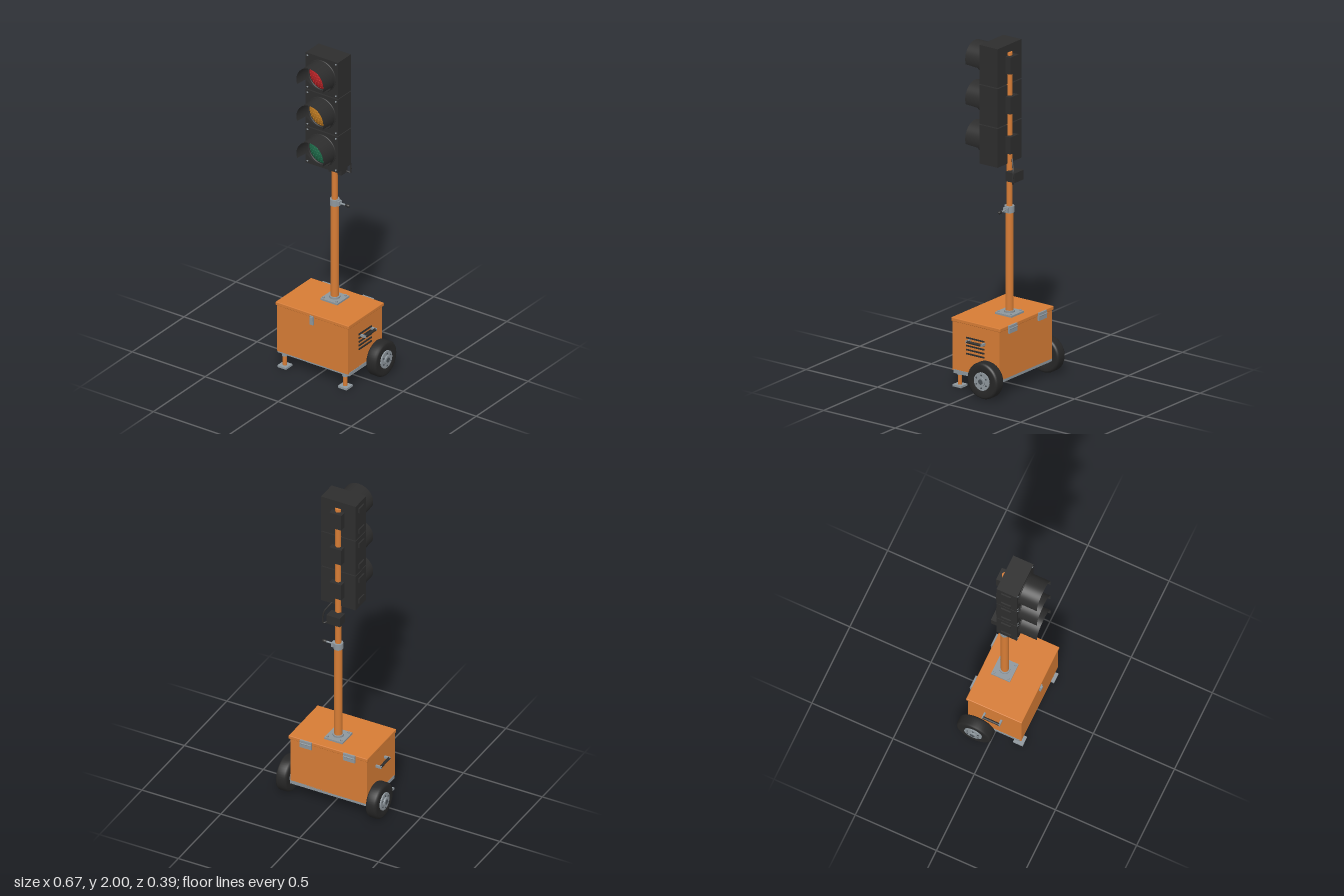
import * as THREE from 'three';
import { mergeGeometries } from 'three/addons/utils/BufferGeometryUtils.js';
import { RoundedBoxGeometry } from 'three/addons/geometries/RoundedBoxGeometry.js';

const mat = (name, color, side = THREE.FrontSide) => {
  const m = new THREE.MeshStandardMaterial({ color, side });
  m.name = name;
  return m;
};

export function createModel() {
  const model = new THREE.Group();
  model.name = 'portableTrafficSignal';
  const orange = mat('orangePaint', 0xd67c35);
  const black = mat('blackPlastic', 0x2d2d2d, THREE.DoubleSide);
  const rubber = mat('tyreRubber', 0x272727);
  const metal = mat('galvanisedMetal', 0x8e979d);
  const dark = mat('darkSteel', 0x4a5157);
  const red = mat('redLens', 0xbe2428);
  const amber = mat('amberLens', 0xc27d22);
  const green = mat('greenLens', 0x1f6e4c);

  const add = (name, geo, m, x = 0, y = 0, z = 0, parent = model) => {
    const mesh = new THREE.Mesh(geo, m);
    mesh.name = name;
    mesh.position.set(x, y, z);
    parent.add(mesh);
    return mesh;
  };
  const group = (name, x = 0, y = 0, z = 0) => {
    const g = new THREE.Group();
    g.name = name;
    g.position.set(x, y, z);
    model.add(g);
    return g;
  };
  const box = (w, h, d) => new THREE.BoxGeometry(w, h, d);
  const cyl = (r, h, n = 32, r2 = r) => new THREE.CylinderGeometry(r, r2, h, n);
  const cylX = (r, h, n) => cyl(r, h, n).rotateZ(-Math.PI / 2);
  const cylZ = (r, h, n) => cyl(r, h, n).rotateX(Math.PI / 2);
  const lathe = (pts, n) => new THREE.LatheGeometry(pts.map(p => new THREE.Vector2(...p)), n);

  // Cabinet, lid and chassis
  add('cabinet', box(0.486, 0.295, 0.328), orange, 0, 0.2475, 0.006);
  add('lid', new RoundedBoxGeometry(0.5, 0.022, 0.343, 2, 0.004), orange, 0, 0.401, 0.0035);
  add('chassis', box(0.49, 0.022, 0.318), metal, 0, 0.096, 0.001);
  add('chassisUnderside', box(0.47, 0.004, 0.3), dark, 0, 0.084, 0.001);
  add('axle', cylX(0.012, 0.56, 20), metal, 0, 0.106, -0.092);
  for (const x of [-0.1375, 0.1375]) {
    const h = group('lidHinge', x, 0.388, -0.171);
    add('hingeLeaf', box(0.074, 0.046, 0.012), metal, 0, 0, 0, h);
    add('hingePin', cylX(0.005, 0.074, 12), metal, 0, 0.004, -0.004, h);
  }
  add('latchPlate', box(0.024, 0.055, 0.012), metal, 0, 0.373, 0.176);
  add('latchHook', box(0.016, 0.022, 0.006), metal, 0, 0.382, 0.184);

  // Ventilation slats on the left side
  for (let i = 0; i < 5; i++)
    add('ventSlat', box(0.008, 0.008, 0.125), black, 0.245, 0.312 - i * 0.0235, 0.008);

  for (const s of [-1, 1]) {
    // Carrying handles
    const handle = group('sideHandle', 0, 0.298, 0);
    for (const z of [-0.054, 0.048])
      add('handleMount', box(0.04, 0.014, 0.011), metal, s * 0.259, 0, z, handle);
    add('handleGrip', cylZ(0.008, 0.102, 16), black, s * 0.272, 0, -0.003, handle);

    // Wheels, built along y and turned outwards
    const wheel = group('wheel', s * 0.285, 0.106, -0.092);
    wheel.rotation.z = -s * Math.PI / 2;
    add('tyre', lathe([[0.052, -0.03], [0.07, -0.035], [0.092, -0.035], [0.101, -0.031], [0.106, -0.022],
      [0.106, 0.022], [0.101, 0.031], [0.092, 0.035], [0.07, 0.035], [0.052, 0.03]], 48), rubber, 0, 0, 0, wheel);
    add('rim', cyl(0.053, 0.068), metal, 0, 0.004, 0, wheel);
    add('hub', cyl(0.026, 0.01), metal, 0, 0.042, 0, wheel);
    add('hubCap', cyl(0.015, 0.004), dark, 0, 0.0465, 0, wheel);
    for (let i = 0; i < 6; i++) {
      const a = i * Math.PI / 3;
      add('wheelNut', cyl(0.005, 0.006, 6), dark, 0.038 * Math.cos(a), 0.039, 0.038 * Math.sin(a), wheel);
    }

    // Front support legs
    const leg = group('supportLeg', s * 0.207, 0, 0.145);
    add('footPlate', box(0.06, 0.012, 0.06), metal, 0, 0.006, 0, leg);
    add('legTube', cyl(0.012, 0.085, 20), orange, 0, 0.052, 0, leg);
    add('legCollar', cyl(0.017, 0.018, 20), metal, 0, 0.08, 0, leg);
  }

  // Telescopic mast
  const mast = group('mast', 0, 0, -0.045);
  add('basePlate', box(0.116, 0.011, 0.116), metal, 0, 0.4175, 0, mast);
  add('baseCollar', cyl(0.031, 0.012), metal, 0, 0.428, 0, mast);
  for (const x of [-0.044, 0.044]) for (const z of [-0.044, 0.044])
    add('baseBolt', cyl(0.007, 0.009, 6), metal, x, 0.427, z, mast);
  add('lowerTube', cyl(0.023, 0.6), orange, 0, 0.72, 0, mast);
  add('upperTube', cyl(0.017, 0.94), orange, 0, 1.485, 0, mast);
  add('clampCollar', cyl(0.028, 0.038), metal, 0, 1.03, 0, mast);
  add('clampLug', box(0.024, 0.028, 0.03), metal, 0.026, 1.03, 0, mast);
  add('clampLever', cylX(0.005, 0.06, 12), metal, 0.055, 1.031, 0, mast);
  add('clampKnob', new THREE.SphereGeometry(1, 20, 14).scale(0.016, 0.01, 0.01), black, 0.088, 1.031, 0, mast);

  // Junction box and cable
  add('junctionBox', box(0.086, 0.056, 0.06), black, -0.002, 1.232, -0.08);
  const cable = new THREE.CatmullRomCurve3([[0.035, 1.213, -0.1], [0.058, 1.204, -0.112], [0.061, 1.22, -0.114],
    [0.054, 1.28, -0.112], [0.04, 1.305, -0.1], [0.02, 1.335, -0.08]].map(p => new THREE.Vector3(...p)));
  add('cable', new THREE.TubeGeometry(cable, 40, 0.005, 8), black);

  // Lens dome with concentric bumps
  const R = 0.083;
  const domeZ = r => 0.034 * (1 - (r / R) ** 2);
  const domePts = [];
  for (let i = 0; i <= 10; i++) domePts.push([R * (1 - i / 10), domeZ(R * (1 - i / 10))]);
  const lensGeo = lathe(domePts, 48).rotateX(Math.PI / 2);
  const bumps = [];
  for (let ring = 0; ring < 5; ring++) {
    const n = ring ? ring * 6 : 1, r = ring * 0.0175;
    for (let i = 0; i < n; i++) {
      const a = i / n * Math.PI * 2;
      bumps.push(new THREE.SphereGeometry(0.0045, 8, 6).scale(1, 1, 0.5)
        .translate(r * Math.cos(a), r * Math.sin(a), domeZ(r)));
    }
  }
  const bumpGeo = mergeGeometries(bumps);

  // Visor: long hood above, short tapering skirt below
  const visorGeo = new THREE.CylinderGeometry(0.092, 0.092, 1, 96, 1, true).rotateX(Math.PI / 2);
  const vp = visorGeo.attributes.position;
  for (let i = 0; i < vp.count; i++) {
    const y = vp.getY(i);
    const len = y > -0.03 ? 0.115 : 0.006 + 0.03 * (y + 0.092) / 0.062;
    vp.setZ(i, vp.getZ(i) > 0 ? len : -0.002);
  }

  // Three signal heads
  [['red', red], ['amber', amber], ['green', green]].forEach(([name, lens], i) => {
    const head = group(name + 'SignalHead', 0, 1.8855 - i * 0.2355, 0);
    add('housing', box(0.22, 0.229, 0.125), black, 0, 0, 0.0175, head);
    add('rearBracket', box(0.076, 0.1, 0.038), black, 0, 0.002, -0.062, head);
    add('lensRing', new THREE.TorusGeometry(0.092, 0.005, 10, 64), black, 0, 0, 0.08, head);
    add('lens', lensGeo, lens, 0, 0, 0.081, head);
    add('lensBumps', bumpGeo, lens, 0, 0, 0.081, head);
    add('visor', visorGeo, black, 0, 0, 0.08, head);
    for (const y of [-0.07, 0.07])
      add('doorHinge', box(0.009, 0.028, 0.06), black, -0.1135, y, 0.015, head);
    for (const x of [-0.097, 0.097]) for (const y of [-0.1, 0.1])
      add('doorScrew', cylZ(0.005, 0.004, 12), metal, x, y, 0.081, head);
    if (i < 2) add('headSpacer', cyl(0.04, 0.01, 24), black, 0, -0.1178, 0.018, head);
  });

  return model;
}
